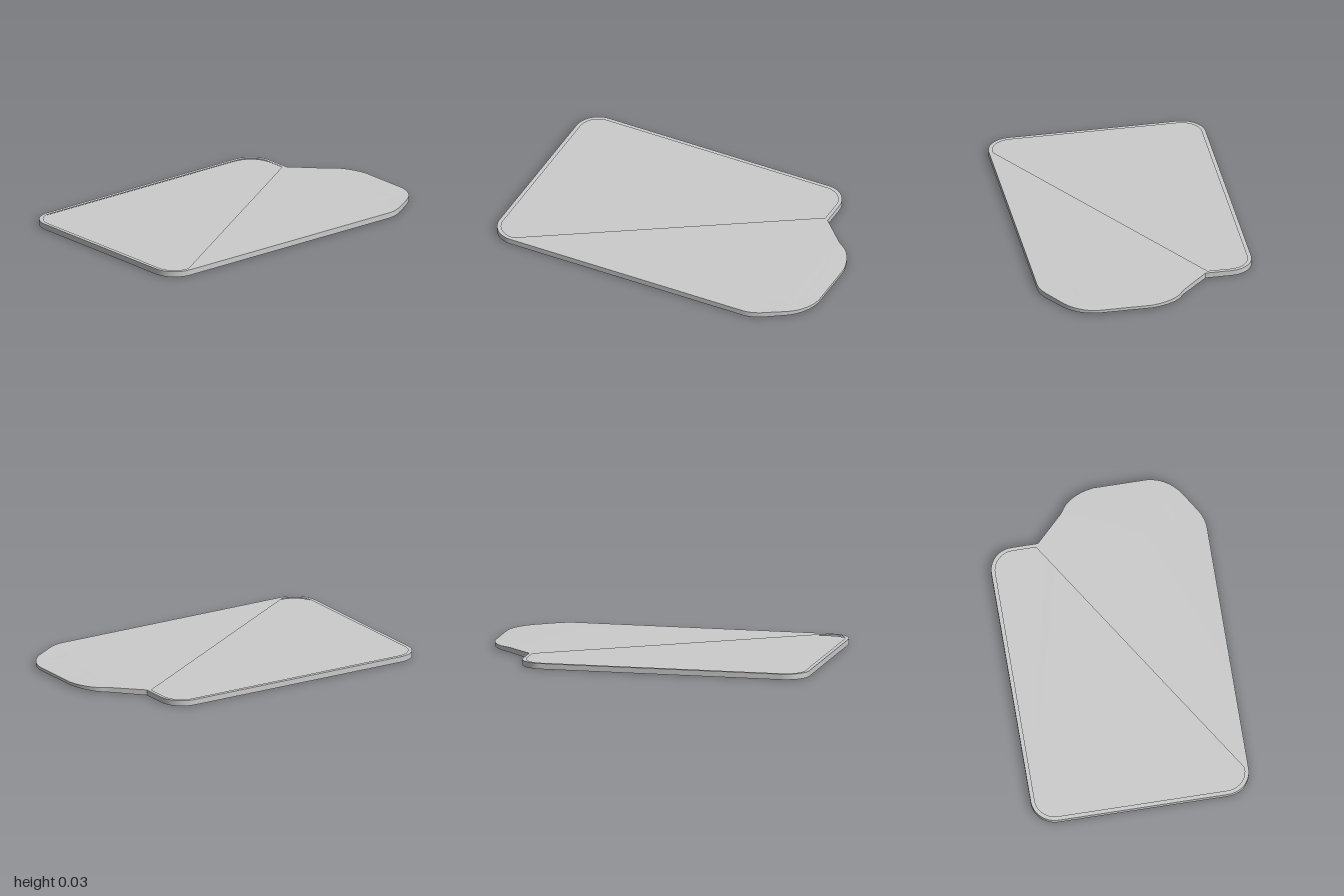
import * as THREE from 'three';
import { toCreasedNormals } from 'three/addons/utils/BufferGeometryUtils.js';

const HEIGHT = 0.033;

// Paths are written in plan (x, z): 2 numbers = line, 4 = quadratic curve, 6 = cubic curve
function trace(path, start, steps) {
  path.moveTo(start[0], -start[1]);
  for (const s of steps) {
    const p = s.map((v, i) => (i % 2 ? -v : v));
    if (p.length === 2) path.lineTo(...p);
    else if (p.length === 4) path.quadraticCurveTo(...p);
    else path.bezierCurveTo(...p);
  }
  return path;
}

// Rounded tray corner as a cubic from a to b around the sharp corner c
function corner(a, c, b) {
  const k = 0.552;
  const mix = p => [p[0] + (c[0] - p[0]) * k, p[1] + (c[1] - p[1]) * k];
  return [...mix(a), ...mix(b), ...b];
}

// Edge of the grip, from the notch beside the tray round to the front
const gripEdge = [
  [0.86, -0.195], [0.875, -0.18, 0.9, -0.165], [0.945, -0.135, 0.99, -0.06, 1, 0.03],
  [1, 0.34], [0.995, 0.42, 0.95, 0.49, 0.88, 0.535], [0.78, 0.597],
  [0.715, 0.642, 0.645, 0.642], [-0.86, 0.642],
];

const outline = () => trace(new THREE.Shape(), [-0.86, -0.642], [
  [0.57, -0.642],
  corner([0.57, -0.642], [0.71, -0.642], [0.71, -0.5]),
  [0.71, -0.345],
  ...gripEdge,
  corner([-0.86, 0.642], [-1, 0.642], [-1, 0.5]),
  [-1, -0.5],
  corner([-1, -0.5], [-1, -0.642], [-0.86, -0.642]),
]);

// Shallow basin, the same on top and underneath
const basin = () => trace(new THREE.Path(), [-0.86, -0.618], [
  [0.57, -0.618],
  corner([0.57, -0.618], [0.688, -0.618], [0.688, -0.5]),
  [0.688, -0.36],
  [0.688, -0.27, 0.61, -0.21],
  [0.475, -0.17, 0.47, -0.06],
  [0.47, 0.48],
  corner([0.47, 0.48], [0.47, 0.618], [0.34, 0.618]),
  [-0.86, 0.618],
  corner([-0.86, 0.618], [-0.976, 0.618], [-0.976, 0.5]),
  [-0.976, -0.5],
  corner([-0.976, -0.5], [-0.976, -0.618], [-0.86, -0.618]),
]);

// Opening in the grip
const gripHole = () => trace(new THREE.Path(), [0.585, -0.105], [
  [0.585, -0.13, 0.61, -0.12], [0.85, -0.025],
  [0.87, -0.015, 0.87, 0.01], [0.86, 0.38],
  [0.86, 0.4, 0.84, 0.41], [0.61, 0.48],
  [0.58, 0.49, 0.58, 0.46], [0.585, -0.105],
]);

// Lay a flat geometry down, lift it and thin it toward the end of the grip
function layDown(geometry, y0) {
  geometry.rotateX(-Math.PI / 2).translate(0, y0, 0);
  const pos = geometry.attributes.position;
  for (let i = 0; i < pos.count; i++) {
    const t = Math.max(0, (pos.getX(i) - 0.72) / 0.28) ** 2;
    const y = pos.getY(i);
    pos.setY(i, THREE.MathUtils.lerp(y, 0.011 + (y / HEIGHT) * 0.018, t));
  }
  return toCreasedNormals(geometry, 0.6);
}

export function createModel() {
  const model = new THREE.Group();
  model.name = 'tray';
  const grey = new THREE.MeshStandardMaterial({ color: 0xcccccc });
  const thin = new THREE.MeshStandardMaterial({ color: 0xcccccc, side: THREE.DoubleSide });

  const add = (name, geometry, material) => {
    const mesh = new THREE.Mesh(geometry, material);
    mesh.name = name;
    model.add(mesh);
  };

  // Three stacked layers: lower rim, floor plate, upper rim
  const layers = [
    ['lowerRim', 0, 0.008, true],
    ['floorPlate', 0.008, 0.02, false],
    ['upperRim', 0.02, HEIGHT, true],
  ];
  for (const [name, y0, y1, open] of layers) {
    const shape = outline();
    shape.holes.push(gripHole());
    if (open) shape.holes.push(basin());
    const geometry = new THREE.ExtrudeGeometry(shape, {
      depth: y1 - y0, bevelEnabled: false, curveSegments: 14,
    });
    add(name, layDown(geometry, y0), grey);
  }

  // Thin cover over the grip and the front half of the basin, cut on the diagonal
  const cover = trace(new THREE.Shape(), [0.71, -0.345], [
    ...gripEdge, [-0.85, 0.618], [0.688, -0.36], [0.71, -0.345],
  ]);
  add('cover', layDown(new THREE.ShapeGeometry(cover, 14), HEIGHT + 0.0004), thin);

  return model;
}
